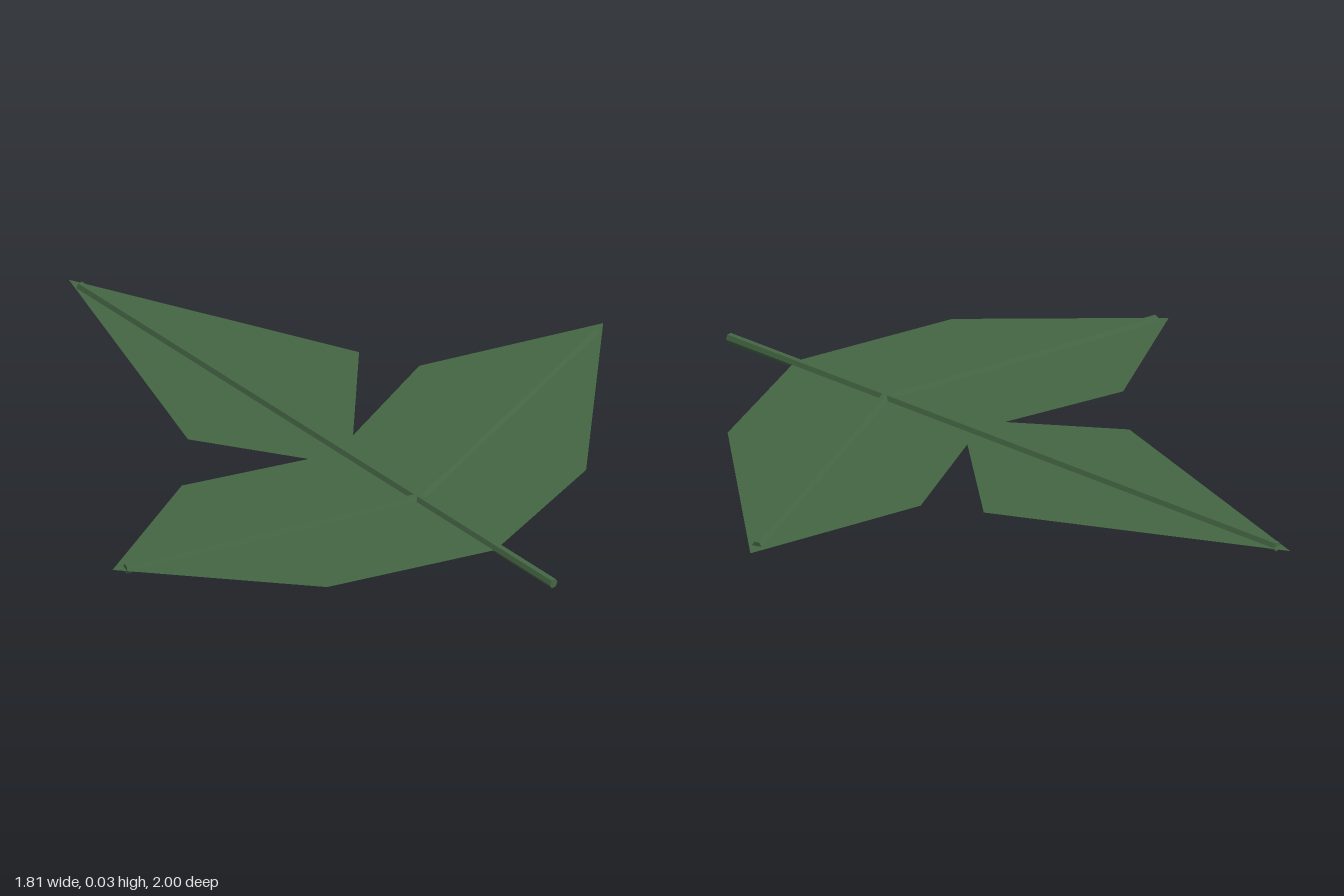
import * as THREE from 'three';

const leafGreen = new THREE.MeshStandardMaterial({ color: 0x446644, side: THREE.DoubleSide });
leafGreen.name = 'leafGreen';
const MID = 0.0125; // height of the leaf sheet and vein centres

// Three-lobed flat sheet, outline given as [x, z]
function makeBlade() {
  const outline = [
    [0.15, -1], [-0.267, -0.248], [-0.135, 0.077], [-0.458, -0.12], [-0.907, -0.013],
    [-0.603, 0.511], [-0.167, 0.767], [0.302, 0.72], [0.904, 0.307], [0.42, 0.034],
    [0.034, 0.102], [0.369, -0.14],
  ];
  const shape = new THREE.Shape(outline.map(([x, z]) => new THREE.Vector2(x, -z)));
  const blade = new THREE.Mesh(new THREE.ShapeGeometry(shape).rotateX(-Math.PI / 2), leafGreen);
  blade.position.y = MID;
  blade.name = 'leafBlade';
  return blade;
}

// Six-sided rod with a flat top, running between two [x, z] points
function makeVein(name, [x1, z1], [x2, z2]) {
  const length = Math.hypot(x2 - x1, z2 - z1);
  const radius = MID / Math.cos(Math.PI / 6);
  const geometry = new THREE.CylinderGeometry(radius, radius, length, 6)
    .rotateY(Math.PI / 6) // puts a flat side towards +z
    .rotateX(-Math.PI / 2) // lays the rod along z, flat side up
    .toNonIndexed();
  geometry.computeVertexNormals(); // faceted sides
  const vein = new THREE.Mesh(geometry, leafGreen);
  vein.position.set((x1 + x2) / 2, MID, (z1 + z2) / 2);
  vein.rotation.y = Math.atan2(x2 - x1, z2 - z1);
  vein.name = name;
  return vein;
}

export function createModel() {
  const leaf = new THREE.Group();
  leaf.name = 'leaf';
  const fork = [-0.097, 0.44];
  leaf.add(
    makeBlade(),
    makeVein('stemAndMidVein', [-0.198, 0.998], [0.144, -0.955]),
    makeVein('rightSideVein', fork, [-0.88, 0.012]),
    makeVein('leftSideVein', fork, [0.857, 0.313]),
  );
  return leaf;
}
